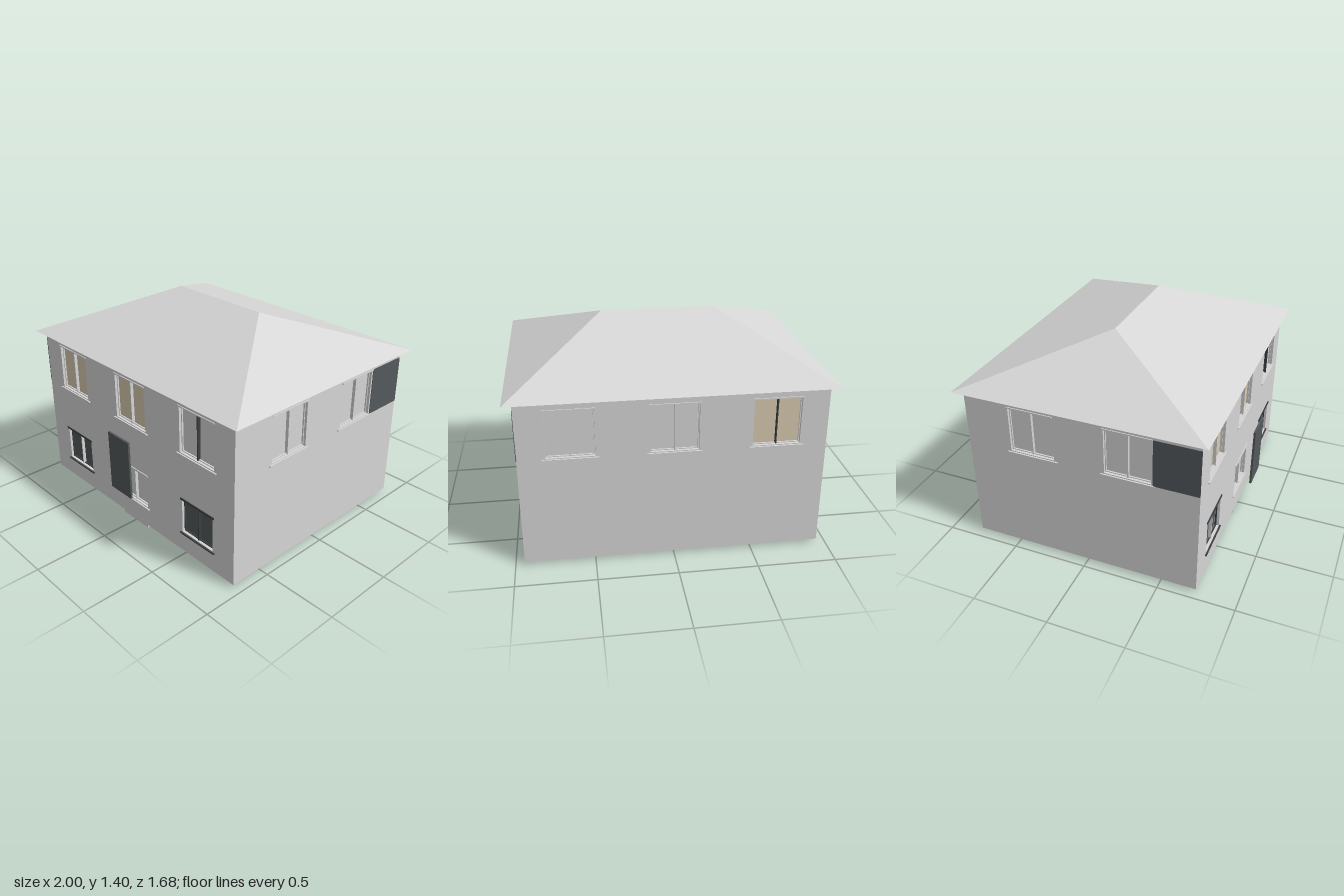
import * as THREE from 'three';

const mat = (name, color, extra = {}) => {
  const m = new THREE.MeshStandardMaterial({ color, ...extra });
  m.name = name;
  return m;
};

const BOTTOM = 0.02, TOP = 1.104, THICK = 0.05, CENTRE_Z = -0.0275;
const WIDTH = 1.885, DEPTH = 1.525;

export function createModel() {
  const model = new THREE.Group();
  model.name = 'house';
  const plaster = mat('plaster grey', 0xd6d6d6);
  const curtain = mat('curtain tan', 0xd8caae);
  const dark = mat('dark glass', 0x54595c);
  const trim = mat('dark trim', 0x3c3f42);

  const box = (parent, name, material, w, h, d, x, y, z) => {
    const mesh = new THREE.Mesh(new THREE.BoxGeometry(w, h, d), material);
    mesh.name = name;
    mesh.position.set(x, y, z);
    parent.add(mesh);
    return mesh;
  };

  // Window set into a wall whose outer face is local z = 0
  function addWindow(wall, o) {
    const g = new THREE.Group();
    g.name = 'window';
    const cy = (o.y0 + o.y1) / 2, h = o.y1 - o.y0;
    box(g, 'pane', o.pane, o.w, h, 0.019, 0, cy, -0.04);
    box(g, 'mullion', o.bar, 0.007, h, 0.022, 0, cy, -0.02);
    for (const s of [-1, 1]) {
      box(g, 'sashStile', o.frame, 0.006, h, 0.01, s * (o.w / 2 - 0.003), cy, -0.022);
      box(g, 'sashRail', o.frame, o.w - 0.012, 0.006, 0.01, 0, cy + s * (h / 2 - 0.003), -0.022);
    }
    box(g, 'sill', o.frame, o.sillW, 0.008, 0.02, 0, o.y0 - 0.01, 0);
    box(g, 'lintel', o.frame, o.lintelW, o.lintelH, 0.012, 0, o.y1 + 0.003 + o.lintelH / 2, 0);
    g.position.x = o.x;
    wall.add(g);
  }

  const upper = (x, pane = plaster, bar = plaster) => ({
    x, w: 0.296, y0: 0.738, y1: 1.04, pane, bar, frame: plaster,
    sillW: 0.342, lintelW: 0.312, lintelH: 0.008,
  });
  const lower = (x, pane, bar, frame) => ({
    x, w: 0.276, y0: 0.166, y1: 0.4, pane, bar, frame,
    sillW: 0.31, lintelW: 0.3, lintelH: 0.013,
  });

  // Wall slab with an opening cut for each window
  function addWall(name, width, windows, x, z, turn) {
    const wall = new THREE.Group();
    wall.name = name;
    const rect = (C, x0, y0, x1, y1) => new C([
      new THREE.Vector2(x0, y0), new THREE.Vector2(x1, y0),
      new THREE.Vector2(x1, y1), new THREE.Vector2(x0, y1),
    ]);
    const shape = rect(THREE.Shape, -width / 2, BOTTOM, width / 2, TOP);
    for (const o of windows) {
      shape.holes.push(rect(THREE.Path, o.x - o.w / 2, o.y0, o.x + o.w / 2, o.y1));
    }
    const geo = new THREE.ExtrudeGeometry(shape, { depth: THICK, bevelEnabled: false });
    geo.translate(0, 0, -THICK);
    const slab = new THREE.Mesh(geo, plaster);
    slab.name = 'wallSlab';
    wall.add(slab);
    windows.forEach((o) => addWindow(wall, o));
    wall.position.set(x, 0, z);
    wall.rotation.y = turn;
    model.add(wall);
    return wall;
  }

  // Front and back walls
  addWall('frontWall', WIDTH, [
    upper(-0.625, curtain), upper(0, curtain), upper(0.625, plaster, trim),
    lower(-0.625, dark, plaster, trim), lower(0, plaster, plaster, plaster),
    lower(0.625, dark, trim, trim),
  ], 0, CENTRE_Z + DEPTH / 2, 0);
  addWall('backWall', WIDTH, [upper(-0.625), upper(0), upper(0.625, curtain, trim)],
    0, CENTRE_Z - DEPTH / 2, Math.PI);

  // Side walls, each with a dark panel at one end
  for (const s of [-1, 1]) {
    const wall = addWall(s > 0 ? 'leftWall' : 'rightWall', DEPTH - 2 * THICK,
      [upper(-0.314), upper(0.313)], s * WIDTH / 2, CENTRE_Z, s * Math.PI / 2);
    box(wall, 'darkPanel', dark, 0.29, 0.318, 0.006, 0.6175, 0.889, 0);
  }

  // Hipped roof with a flat underside
  const A = [-1, 1.105, 0.785], B = [1, 1.105, 0.785];
  const C = [1, 1.105, -0.84], D = [-1, 1.105, -0.84];
  const E = [-0.375, 1.4, CENTRE_Z], F = [0.375, 1.4, CENTRE_Z];
  const faces = [A, B, F, A, F, E, B, C, F, C, D, E, C, E, F, D, A, E, A, D, C, A, C, B];
  const roofGeo = new THREE.BufferGeometry();
  roofGeo.setAttribute('position', new THREE.Float32BufferAttribute(faces.flat(), 3));
  roofGeo.computeVertexNormals();
  const roof = new THREE.Mesh(roofGeo, plaster);
  roof.name = 'roof';
  model.add(roof);

  // Door panel standing clear of the front wall, and the doorstep
  box(model, 'doorPanel', dark, 0.208, 0.412, 0.014, 0, 0.475, 0.836);
  box(model, 'doorstep', plaster, 0.255, 0.02, 0.04, 0, 0.01, 0.715);

  return model;
}
